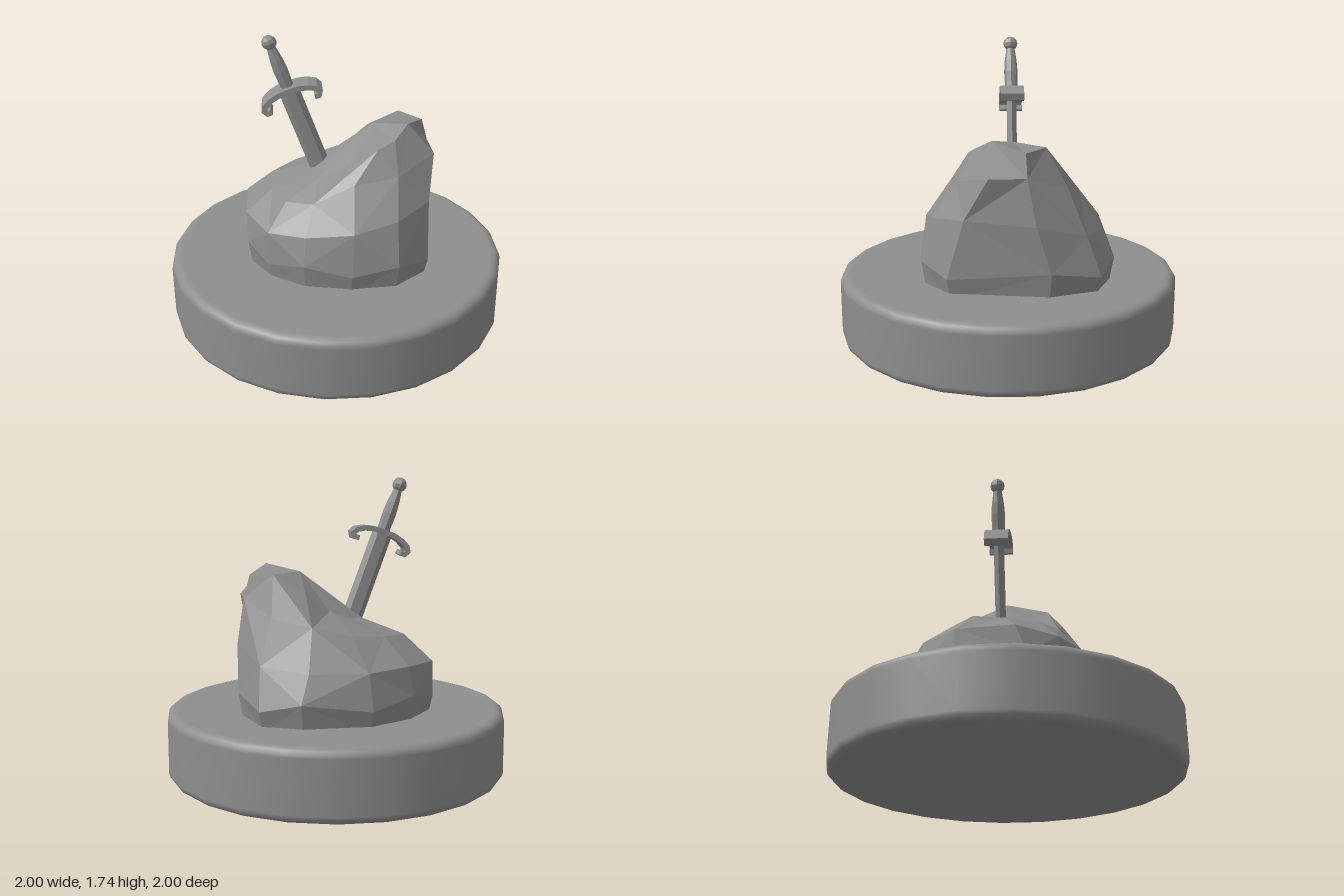
import * as THREE from 'three';

const smooth = new THREE.MeshStandardMaterial({ color: 0x8e8e8e });
const faceted = new THREE.MeshStandardMaterial({ color: 0x8e8e8e, flatShading: true });

function part(name, geometry, material, parent) {
  const mesh = new THREE.Mesh(geometry, material);
  mesh.name = name;
  parent.add(mesh);
  return mesh;
}

// Round plinth with softened rims
function plinthGeometry() {
  const r = 0.05, h = 0.4, profile = [[0, 0], [0.94, 0]];
  for (let i = 0; i <= 4; i++) {
    const a = (i / 4) * Math.PI / 2;
    profile.push([1 - r + r * Math.sin(a), r - r * Math.cos(a)]);
  }
  const upper = profile.map(([x, y]) => [x, h - y]).reverse();
  const points = [...profile, ...upper].map(([x, y]) => new THREE.Vector2(x, y));
  return new THREE.LatheGeometry(points, 24);
}

// Faceted boulder: loops of twelve corners from the foot to the crown
function rockGeometry() {
  const girth = [[0.605, 0.13], [0.49, 0.34], [0.25, 0.46], [-0.02, 0.515], [-0.25, 0.47], [-0.43, 0.35],
    [-0.585, -0.01], [-0.52, -0.27], [-0.34, -0.5], [0.02, -0.66], [0.26, -0.655], [0.46, -0.43]];
  const loop = (scale, y, wobble) => girth.map(([x, z], i) =>
    [x * scale, y + (i % 2 ? wobble : -wobble), z * scale]);
  const rings = [
    loop(0.95, 0.36, 0),
    loop(1, 0.51, 0.025),
    // shoulder
    [[0.575, 0.82, 0.04], [0.46, 0.79, 0.28], [0.25, 0.74, 0.42], [-0.02, 0.7, 0.47],
      [-0.26, 0.68, 0.45], [-0.46, 0.7, 0.29], [-0.58, 0.69, -0.01], [-0.49, 0.7, -0.27],
      [-0.31, 0.69, -0.47], [0, 0.69, -0.58], [0.28, 0.72, -0.57], [0.49, 0.8, -0.35]],
    // slope
    [[0.56, 1.06, -0.1], [0.42, 1.0, 0.15], [0.2, 0.97, 0.27], [-0.02, 0.85, 0.34],
      [-0.2, 0.82, 0.31], [-0.34, 0.82, 0.17], [-0.41, 0.84, 0], [-0.33, 0.85, -0.18],
      [-0.18, 0.87, -0.34], [0.02, 0.92, -0.44], [0.25, 0.97, -0.45], [0.47, 1.06, -0.29]],
    // crown, low on one side and high on the other
    [[0.41, 1.24, -0.06], [0.37, 1.18, 0.06], [0.29, 1.14, 0.13], [0.11, 1.02, 0.14],
      [-0.06, 0.92, 0.16], [-0.14, 0.91, 0.08], [-0.16, 0.93, -0.02], [-0.12, 0.94, -0.13],
      [-0.02, 0.99, -0.22], [0.1, 1.1, -0.3], [0.28, 1.2, -0.33], [0.44, 1.19, -0.27]],
  ];
  const corners = [];
  const top = [0.19, 1.2, -0.1], n = girth.length;
  for (let i = 0; i < n; i++) {
    const j = (i + 1) % n;
    for (let k = 0; k < rings.length - 1; k++) {
      const a = rings[k][i], b = rings[k][j], c = rings[k + 1][i], d = rings[k + 1][j];
      if ((i + k) % 2) corners.push(a, c, b, b, c, d);
      else corners.push(a, c, d, a, d, b);
    }
    corners.push(rings[rings.length - 1][i], top, rings[rings.length - 1][j]);
    corners.push(rings[0][i], rings[0][j], [0, 0.36, 0]);
  }
  const geometry = new THREE.BufferGeometry();
  geometry.setAttribute('position', new THREE.Float32BufferAttribute(corners.flat(), 3));
  geometry.computeVertexNormals();
  return geometry;
}

// Curved strip whose ends droop and curl inward
function guardGeometry() {
  const half = [[0, 0.008], [0.06, 0.006], [0.115, -0.008], [0.155, -0.03],
    [0.17, -0.055], [0.157, -0.076], [0.13, -0.072]];
  const path = [...half.slice(1).reverse().map(([x, y]) => [-x, y]), ...half]
    .map(([x, y]) => new THREE.Vector2(x, y));
  const offset = (side) => path.map((p, i) => {
    const t = path[Math.min(i + 1, path.length - 1)].clone().sub(path[Math.max(i - 1, 0)]).normalize();
    return new THREE.Vector2(p.x - t.y * side, p.y + t.x * side);
  });
  const shape = new THREE.Shape([...offset(-0.015), ...offset(0.015).reverse()]);
  return new THREE.ExtrudeGeometry(shape, { depth: 0.14, bevelEnabled: false }).translate(0, 0, -0.07);
}

// Six-sided blade section, running down into the rock
function bladeGeometry() {
  const section = [[0.06, 0], [0.03, 0.028], [-0.03, 0.028], [-0.06, 0], [-0.03, -0.028], [0.03, -0.028]];
  const shape = new THREE.Shape(section.map(([x, y]) => new THREE.Vector2(x, y)));
  return new THREE.ExtrudeGeometry(shape, { depth: 0.56, bevelEnabled: false }).rotateX(Math.PI / 2);
}

export function createModel() {
  const model = new THREE.Group();
  model.name = 'swordInStone';
  part('plinth', plinthGeometry(), smooth, model);
  part('rock', rockGeometry(), faceted, model);

  // Sword, leaning and turned, with its origin at the guard
  const sword = new THREE.Group();
  sword.name = 'sword';
  const up = new THREE.Vector3(-0.25, 0.75, 0.11).normalize();
  const across = new THREE.Vector3(0.92, 0, -0.39);
  across.addScaledVector(up, -across.dot(up)).normalize();
  const facing = new THREE.Vector3().crossVectors(across, up);
  sword.quaternion.setFromRotationMatrix(new THREE.Matrix4().makeBasis(across, up, facing));
  sword.position.set(-0.26, 1.42, 0.08);
  model.add(sword);

  part('blade', bladeGeometry(), faceted, sword);
  part('guard', guardGeometry(), faceted, sword);
  const grip = [[0, 0], [0.038, 0], [0.038, 0.05], [0.041, 0.12], [0.036, 0.19], [0.024, 0.27], [0, 0.27]];
  part('grip', new THREE.LatheGeometry(grip.map(([x, y]) => new THREE.Vector2(x, y)), 8), faceted, sword);
  part('pommel', new THREE.SphereGeometry(0.043, 8, 6), faceted, sword).position.y = 0.296;
  return model;
}
